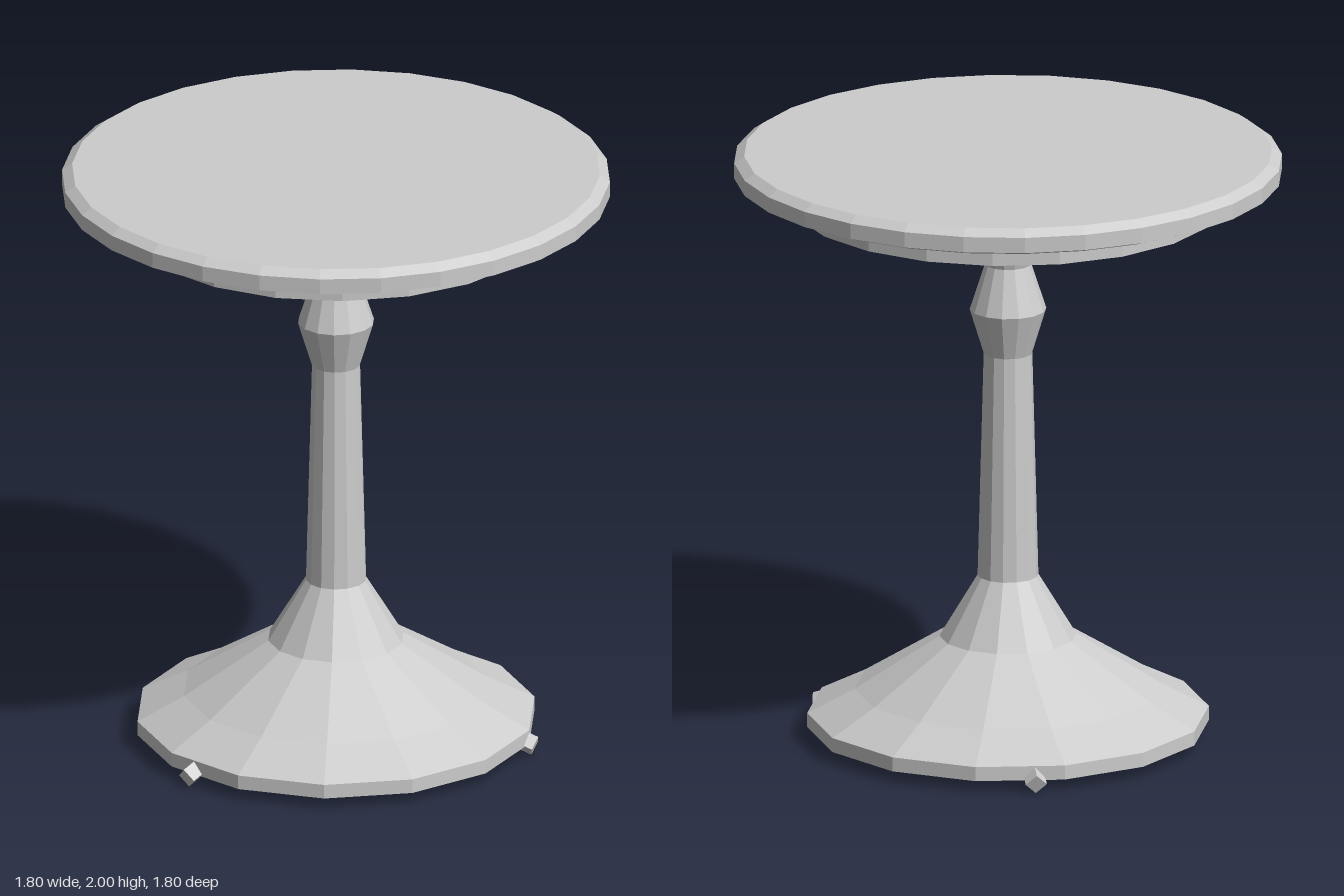
import * as THREE from 'three';

const grey = new THREE.MeshStandardMaterial({ color: 0xcccccc, flatShading: true });
grey.name = 'grey';

// Faceted solid of revolution, profile listed from bottom to top as [radius, y]
function turned(name, sides, profile) {
  const points = profile.map(([r, y]) => new THREE.Vector2(r, y));
  const mesh = new THREE.Mesh(new THREE.LatheGeometry(points, sides, Math.PI / 2), grey);
  mesh.name = name;
  return mesh;
}

export function createModel() {
  const table = new THREE.Group();
  table.name = 'pedestalTable';

  // Round top with bevelled rim
  table.add(turned('tableTop', 28, [
    [0, 1.91], [0.86, 1.91], [0.9, 1.925], [0.9, 1.977], [0.867, 2], [0, 2],
  ]));

  // Smaller disc under the top
  table.add(turned('apron', 20, [[0, 1.823], [0.71, 1.823], [0.71, 1.911], [0, 1.911]]));

  // Turned column flaring into the base
  table.add(turned('pedestal', 14, [
    [0, 0.04], [0.66, 0.04], [0.66, 0.088], [0.505, 0.168], [0.225, 0.345], [0.1, 0.552],
    [0.08, 1.312], [0.126, 1.463], [0.076, 1.617], [0.13, 1.824], [0, 1.824],
  ]));

  // Three small square feet, tilted down and outward from the base
  const tilt = THREE.MathUtils.degToRad(20);
  const length = 0.14;
  const footGeometry = new THREE.CylinderGeometry(0.035, 0.035, length, 4)
    .rotateZ(-Math.PI / 2 - tilt)
    .translate(0.679 - Math.cos(tilt) * length / 2, 0.035 + Math.sin(tilt) * length / 2, 0);
  for (let i = 0; i < 3; i++) {
    const foot = new THREE.Mesh(footGeometry, grey);
    foot.name = 'foot' + (i + 1);
    foot.rotation.y = i * Math.PI * 2 / 3;
    table.add(foot);
  }

  return table;
}
